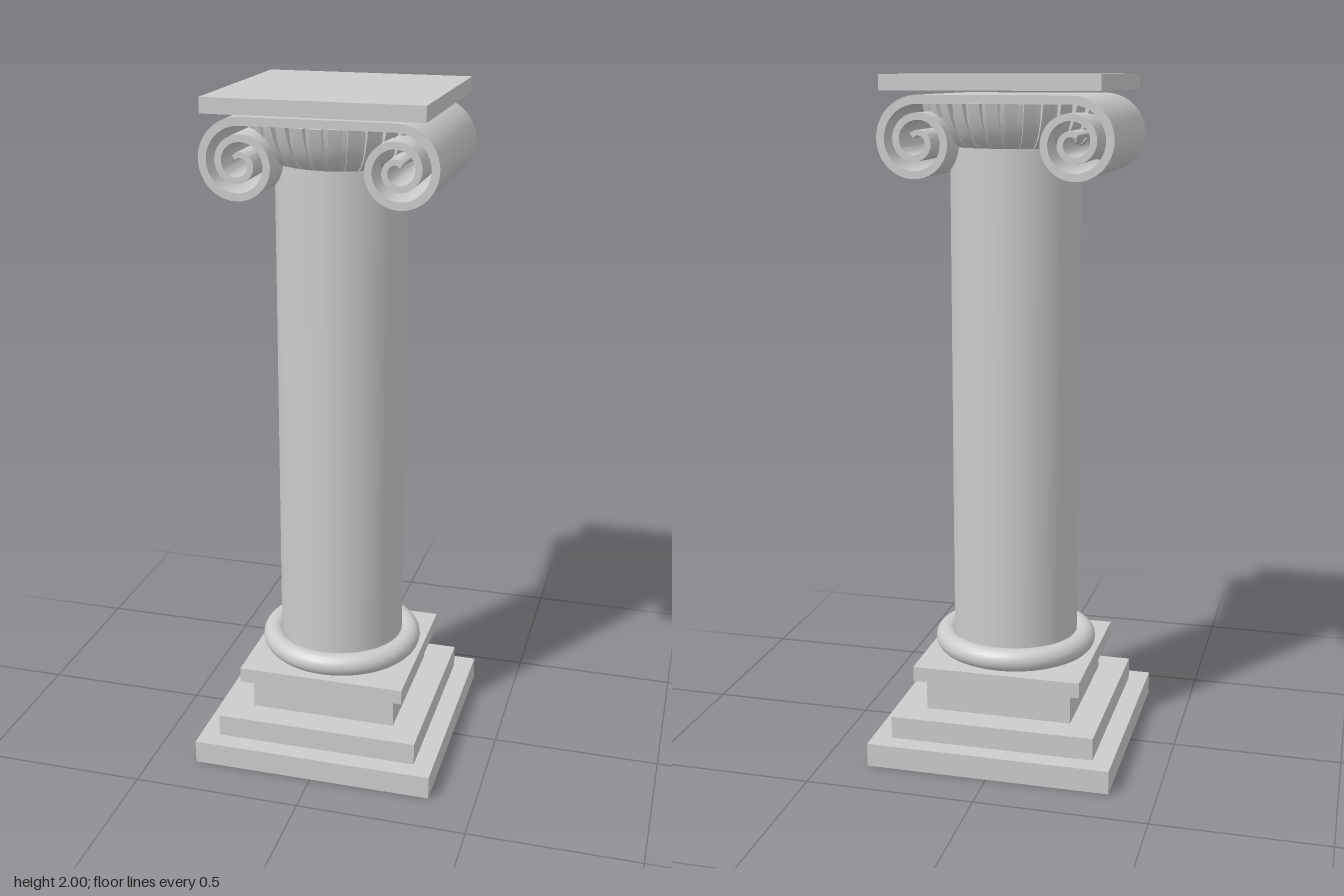
import * as THREE from 'three';
import { toCreasedNormals } from 'three/addons/utils/BufferGeometryUtils.js';

const stone = new THREE.MeshStandardMaterial({ color: 0xcccccc });

export function createModel() {
  const model = new THREE.Group();
  model.name = 'column';

  const add = (name, geometry, y = 0, parent = model) => {
    const mesh = new THREE.Mesh(geometry, stone);
    mesh.name = name;
    mesh.position.y = y;
    parent.add(mesh);
    return mesh;
  };
  // Square slab given by half width and its bottom and top heights
  const slab = (name, half, y0, y1) =>
    add(name, new THREE.BoxGeometry(half * 2, y1 - y0, half * 2), (y0 + y1) / 2);

  // Stepped base and top slab
  slab('plinth', 0.363, 0, 0.07);
  slab('lowerStep', 0.305, 0.07, 0.137);
  slab('pedestalBlock', 0.22, 0.137, 0.235);
  slab('pedestalCap', 0.252, 0.235, 0.28);
  slab('abacus', 0.305, 1.957, 2);

  // Rounded ring at the foot of the shaft
  const ring = new THREE.TorusGeometry(0.211, 0.034, 20, 64);
  ring.rotateX(Math.PI / 2);
  add('baseRing', ring, 0.314);

  // Shaft
  add('shaft', new THREE.CylinderGeometry(0.188, 0.188, 1.54, 64), 1.05);

  // Bowl under the scroll band
  const bowl = [[0.188, 1.8], [0.212, 1.815], [0.232, 1.845], [0.245, 1.88], [0.25, 1.922], [0, 1.922]]
    .map(([r, y]) => new THREE.Vector2(r, y));
  add('capitalBowl', toCreasedNormals(new THREE.LatheGeometry(bowl, 64), 0.7));

  // Curved ribs around the bowl
  const ribShape = new THREE.Shape();
  ribShape.moveTo(0.17, 1.8);
  ribShape.lineTo(0.19, 1.8);
  ribShape.quadraticCurveTo(0.242, 1.815, 0.267, 1.922);
  ribShape.lineTo(0.2, 1.922);
  const ribWidth = 0.034;
  const ribGeometry = toCreasedNormals(
    new THREE.ExtrudeGeometry(ribShape, { depth: ribWidth, bevelEnabled: false, curveSegments: 10 }), 0.6);
  ribGeometry.translate(0, 0, -ribWidth / 2);
  const ribs = new THREE.Group();
  ribs.name = 'capitalRibs';
  model.add(ribs);
  const ribCount = 32;
  for (let i = 0; i < ribCount; i++) {
    add('rib', ribGeometry, 0, ribs).rotation.y = (i / ribCount) * Math.PI * 2;
  }

  // Scroll band: a flat strip across the top that coils into a volute at each end
  const cx = 0.219, cy = 1.82, turns = 2.1, steps = 90;
  const outer = [], inner = [];
  for (let i = 0; i <= steps; i++) {
    const t = (i / steps) * turns;
    const a = t * Math.PI * 2;
    const r = 0.113 - 0.045 * t;
    const h = 0.012 - 0.002 * t;
    outer.push(new THREE.Vector2(cx + Math.sin(a) * (r + h), cy + Math.cos(a) * (r + h)));
    inner.push(new THREE.Vector2(cx + Math.sin(a) * (r - h), cy + Math.cos(a) * (r - h)));
  }
  const mirror = (points) => points.map((p) => new THREE.Vector2(-p.x, p.y));
  const band = new THREE.Shape([
    ...mirror(outer).reverse(), ...outer,
    ...inner.slice().reverse(), ...mirror(inner),
  ]);
  const scroll = new THREE.ExtrudeGeometry(band, { depth: 0.506, bevelEnabled: false });
  scroll.translate(0, 0, -0.253);
  add('scrollBand', toCreasedNormals(scroll, 0.6));

  return model;
}
